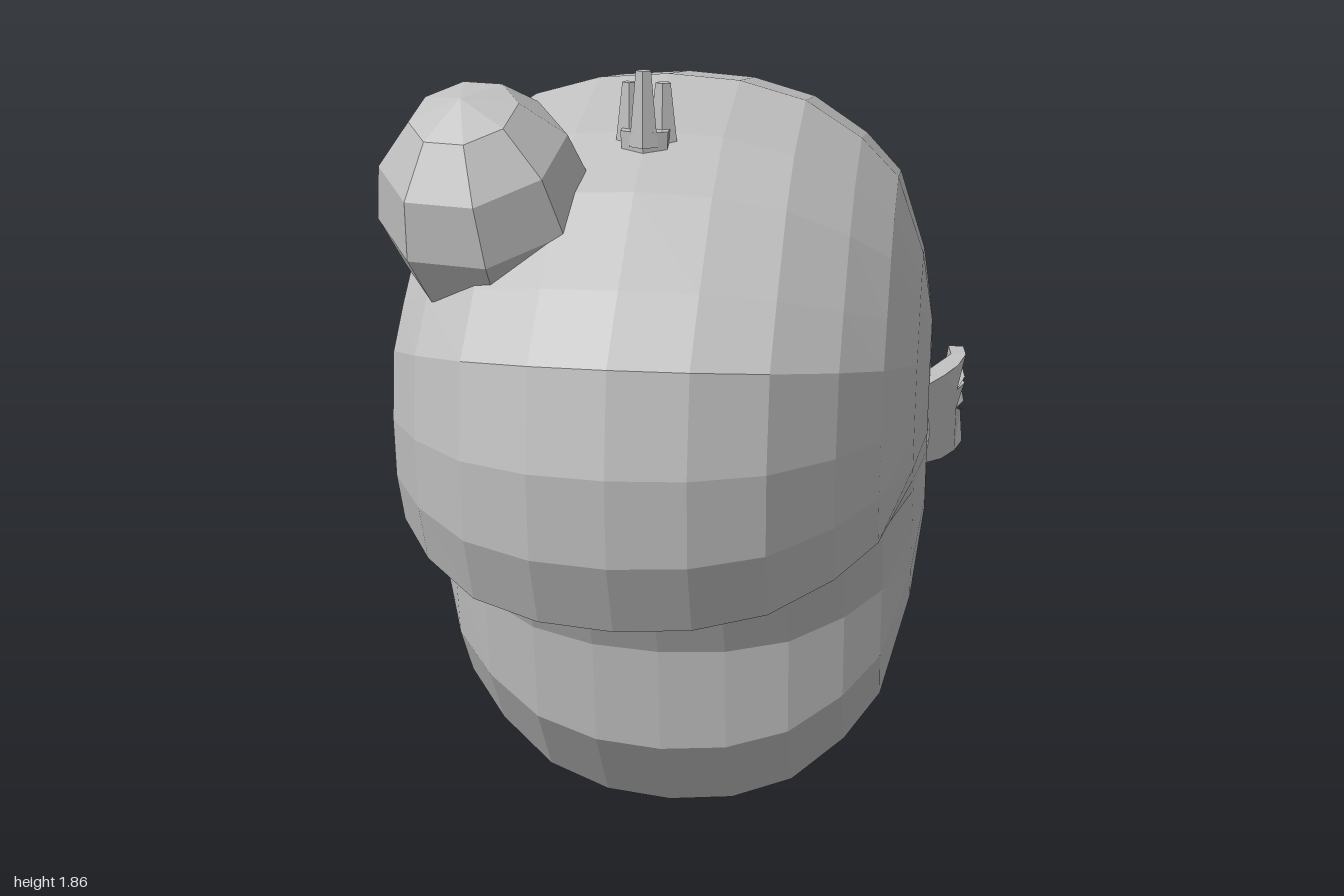
import * as THREE from 'three';

const skin = new THREE.MeshStandardMaterial({ color: 0xc0c0c0, flatShading: true });
skin.name = 'grey skin';

function part(name, geometry) {
  const mesh = new THREE.Mesh(geometry, skin);
  mesh.name = name;
  return mesh;
}

// Moves every vertex of a geometry by a rule, then refreshes the normals
function warp(geometry, rule) {
  const p = geometry.attributes.position;
  const v = new THREE.Vector3();
  for (let i = 0; i < p.count; i++) {
    rule(v.fromBufferAttribute(p, i));
    p.setXYZ(i, v.x, v.y, v.z);
  }
  geometry.computeVertexNormals();
  return geometry;
}

// Mirror copy across x = 0 with the triangle order reversed
function mirrorX(geometry) {
  const src = geometry.index ? geometry.toNonIndexed() : geometry;
  const p = src.attributes.position;
  const out = [];
  for (let i = 0; i < p.count; i += 3) {
    for (const k of [i, i + 2, i + 1]) out.push(-p.getX(k), p.getY(k), p.getZ(k));
  }
  return fromTriangles(out);
}

function fromTriangles(list) {
  const g = new THREE.BufferGeometry();
  g.setAttribute('position', new THREE.Float32BufferAttribute(list, 3));
  g.computeVertexNormals();
  return g;
}

function extrude(points, depth) {
  const shape = new THREE.Shape(points.map(([x, y]) => new THREE.Vector2(x, y)));
  return new THREE.ExtrudeGeometry(shape, { depth, bevelEnabled: false });
}

// Head: middle profile [z, y] and the point on the flank [z, y] it shrinks to
function headGeometry() {
  const profile = [
    [-0.68, 1.0, -0.18, 1.0], [-0.61, 1.45, -0.16, 1.12], [-0.5, 1.58, -0.13, 1.16],
    [-0.36, 1.68, -0.1, 1.18], [-0.2, 1.74, -0.07, 1.2], [0.12, 1.79, -0.02, 1.21],
    [0.43, 1.73, 0.02, 1.2], [0.62, 1.65, 0.04, 1.19], [0.82, 1.51, 0.05, 1.18],
    [0.96, 1.4, 0.06, 1.16], [1.0, 1.2, 0.07, 1.13], [0.99, 1.02, 0.07, 1.1],
    [0.92, 0.86, 0.06, 1.06], [0.65, 0.82, 0.04, 0.99], [0.43, 0.75, 0.0, 0.93],
    [0.32, 0.53, -0.03, 0.85], [0.29, 0.27, -0.05, 0.81], [0.13, 0.05, -0.07, 0.78],
    [-0.14, 0, -0.1, 0.76], [-0.28, 0.04, -0.12, 0.77], [-0.42, 0.13, -0.14, 0.79],
    [-0.51, 0.24, -0.16, 0.82], [-0.62, 0.49, -0.17, 0.86], [-0.68, 0.8, -0.18, 0.92],
  ];
  const half = [[0.15, 0.98], [0.29, 0.91], [0.41, 0.77], [0.49, 0.62], [0.55, 0.31], [0.575, 0.03]];
  const slices = [...half.map(([x, f]) => [-x, f]).reverse(), [0, 1], ...half];
  const n = profile.length;
  const at = (s, i) => {
    const [x, f] = slices[s];
    const [z, y, tz, ty] = profile[i % n];
    return [x, ty + (y - ty) * f, tz + (z - tz) * f];
  };
  const out = [];
  for (let s = 0; s < slices.length - 1; s++) {
    for (let i = 0; i < n; i++) {
      const a = at(s, i), b = at(s, i + 1), c = at(s + 1, i + 1), d = at(s + 1, i);
      out.push(...a, ...b, ...c, ...a, ...c, ...d);
    }
  }
  // Flat closing caps on both flanks
  const last = slices.length - 1;
  for (let i = 0; i < n; i++) {
    out.push(0.575, 0.98, -0.06, ...at(last, i), ...at(last, i + 1));
    out.push(-0.575, 0.98, -0.06, ...at(0, i + 1), ...at(0, i));
  }
  return fromTriangles(out);
}

// Hand-like ear: three splayed fingers, curling outward toward the back
function earGeometry() {
  const outline = [
    [0.03, 1.07], [0.04, 0.94], [0.03, 0.88], [0.09, 0.87], [0.15, 0.87], [0.22, 0.87],
    [0.27, 0.87], [0.285, 0.925], [0.22, 0.95], [0.15, 0.975], [0.22, 0.97], [0.3, 0.96],
    [0.31, 1.01], [0.22, 1.015], [0.15, 1.02], [0.22, 1.03], [0.3, 1.045], [0.285, 1.085],
    [0.22, 1.085], [0.15, 1.08], [0.09, 1.075],
  ];
  return warp(extrude(outline, 1), (v) => {
    const d = v.x;
    const curl = Math.sin(Math.min(1, (d - 0.03) / 0.21) * Math.PI / 2);
    const tip = Math.max(0, d - 0.26) * 0.3;
    const outer = 0.572 + 0.084 * curl - tip;
    const thick = 0.035 + Math.max(0, 0.16 - d) * 0.25;
    v.set(outer - thick * (1 - v.z), v.y, -d);
  });
}

// Forked plate at the end of each rear rod, thicker in the middle
function forkGeometry() {
  const outline = [[0, 0.8], [0.045, 0.96], [0.068, 1.22], [0.03, 1.12], [0, 1.04],
    [-0.03, 1.12], [-0.068, 1.22], [-0.045, 0.96]];
  return warp(extrude(outline, 0.035), (v) => {
    if (v.z > 0.01) {
      v.x *= 0.65;
      v.y = 0.97 + (v.y - 0.97) * 0.85;
      v.z -= Math.abs(v.y - 0.97) * 0.08;
    }
    v.z -= 1;
  });
}

export function createModel() {
  const model = new THREE.Group();
  model.name = 'creatureHead';
  model.add(part('head', headGeometry()));

  // Single bulging eye with a sloping collar
  const eye = part('eyeBulge', new THREE.SphereGeometry(1, 8, 6));
  eye.scale.set(0.215, 0.235, 0.235);
  eye.rotation.set(0.35, 0.2, 0.1);
  eye.position.set(-0.305, 1.61, 0.565);
  model.add(eye);
  const collar = part('eyeCollar', new THREE.CylinderGeometry(0.15, 0.27, 0.22, 9));
  collar.scale.set(0.85, 1, 1);
  collar.rotation.set(0.3, 0, 0.3);
  collar.position.set(-0.27, 1.56, 0.51);
  model.add(collar);

  // Small three-fingered bud on top
  const bud = new THREE.Group();
  bud.name = 'topBud';
  const base = part('budBase', new THREE.CylinderGeometry(0.055, 0.05, 0.08, 6));
  base.position.y = 0.02;
  base.scale.z = 0.8;
  bud.add(base);
  for (const [x, z, h] of [[0, 0.025, 0.15], [0.033, -0.015, 0.12], [-0.033, -0.015, 0.12]]) {
    const finger = part('budFinger', new THREE.CylinderGeometry(0.016, 0.03, h, 5));
    finger.position.set(x, 0.03 + h / 2, z);
    finger.scale.z = 0.75;
    bud.add(finger);
  }
  bud.position.set(0, 1.68, 0.46);
  model.add(bud);

  // Ears
  const ear = earGeometry();
  model.add(part('leftEar', ear), part('rightEar', mirrorX(ear)));

  // Rear rods with forked plates
  for (const [side, x] of [['left', 0.24], ['right', -0.24]]) {
    const path = new THREE.QuadraticBezierCurve3(
      new THREE.Vector3(x, 0.95, -0.56), new THREE.Vector3(x, 0.975, -0.75), new THREE.Vector3(x, 0.96, -0.985));
    model.add(part(side + 'RearRod', new THREE.TubeGeometry(path, 4, 0.024, 6)));
    const fork = part(side + 'RearFork', forkGeometry());
    fork.position.x = x;
    model.add(fork);
  }
  return model;
}
